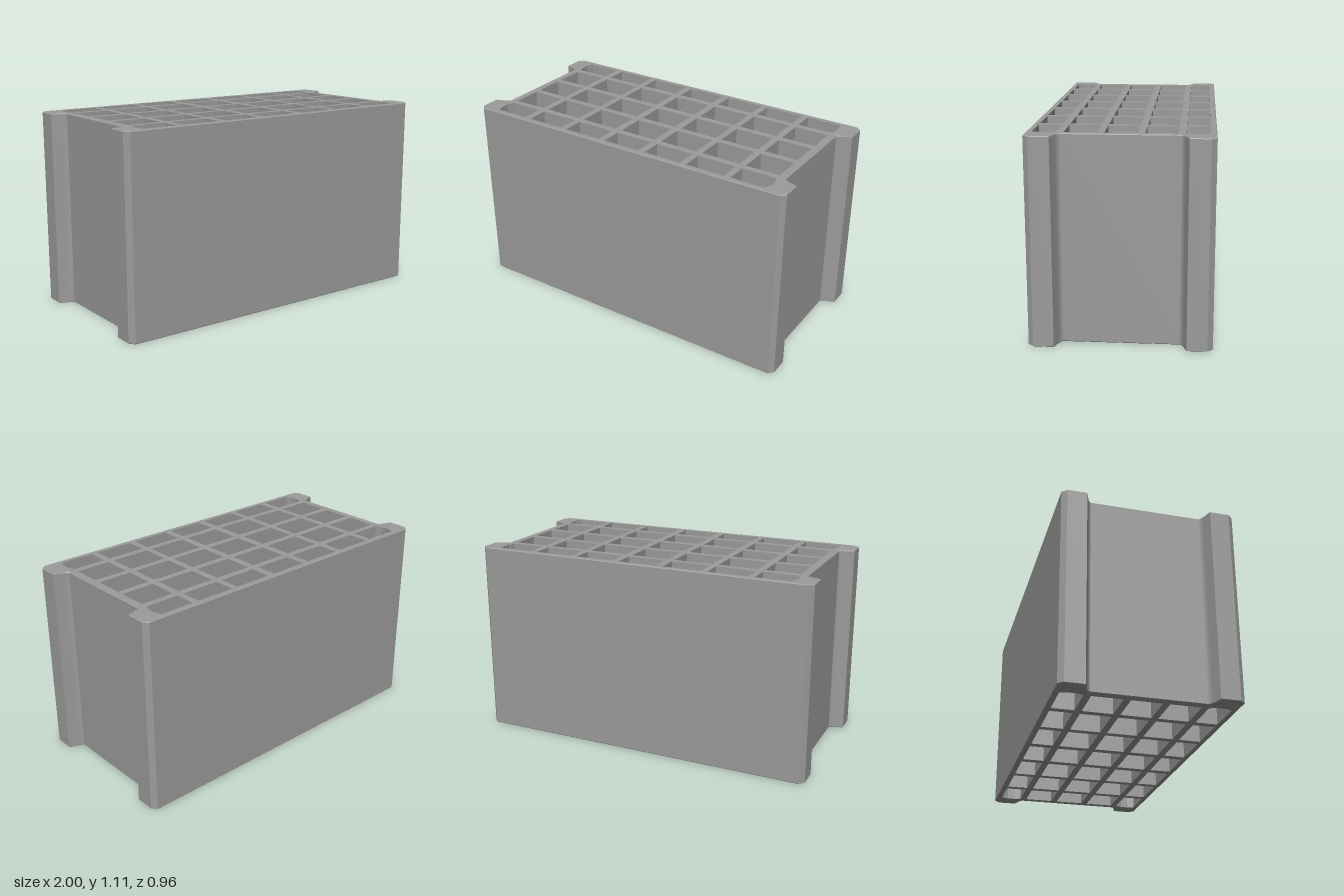
import * as THREE from 'three';
import { toCreasedNormals } from 'three/addons/utils/BufferGeometryUtils.js';

const HEIGHT = 1.11;
const BEVEL = 0.004;

// Right-front quarter of the outline: recess fillet, ramp, end face, chamfer
const fillet = new THREE.QuadraticBezierCurve(
  new THREE.Vector2(0.92, 0.306), new THREE.Vector2(0.929, 0.3185), new THREE.Vector2(0.945, 0.324));
const quarter = [
  ...fillet.getPoints(4).map((p) => [p.x, p.y]),
  [1, 0.343], [1, 0.45], [0.975, 0.478],
];
// Cell spans between the webs
const columns = [[-0.877, -0.68], [-0.641, -0.415], [-0.378, -0.153], [-0.111, 0.111],
  [0.153, 0.378], [0.415, 0.641], [0.68, 0.877]];
const rows = [[-0.447, -0.325], [-0.287, -0.121], [-0.083, 0.083], [0.121, 0.287], [0.325, 0.447]];

const toPoints = (list) => list.map(([x, y]) => new THREE.Vector2(x, y));
const mirror = (list, sx, sy) => list.map(([x, y]) => [x * sx, y * sy]);

// Rectangular cell; corner cells bulge towards the end of the block
function cell([x0, x1], [z0, z1], bulge) {
  const dz = (z1 - z0) * 0.32;
  const points = [[x0, z0]];
  if (bulge < 0) points.push([x0 - 0.014, z0 + dz], [x0 - 0.014, z1 - dz]);
  points.push([x0, z1], [x1, z1]);
  if (bulge > 0) points.push([x1 + 0.014, z1 - dz], [x1 + 0.014, z0 + dz]);
  points.push([x1, z0]);
  return new THREE.Path(toPoints(points));
}

// Narrow bevel round the outer rim at the top and bottom
function bevelRims(geometry) {
  const p = geometry.attributes.position;
  for (let i = 0; i < p.count; i++) {
    const x = p.getX(i), y = p.getY(i), z = p.getZ(i);
    const layer = Math.round((y / HEIGHT) * 3);
    p.setY(i, [0, BEVEL, HEIGHT - BEVEL, HEIGHT][layer]);
    if (layer === 1 || layer === 2) continue;
    if (Math.abs(x) > 0.9) p.setX(i, x - Math.sign(x) * BEVEL);
    if (Math.abs(z) > 0.449) p.setZ(i, z - Math.sign(z) * BEVEL);
  }
}

export function createModel() {
  const group = new THREE.Group();
  group.name = 'hollowBlock';

  // Outline mirrored into all four quarters
  const outline = new THREE.Shape(toPoints([
    ...quarter,
    ...mirror(quarter, -1, 1).reverse(),
    ...mirror(quarter, -1, -1),
    ...mirror(quarter, 1, -1).reverse(),
  ]));

  // Grid of vertical cells running right through the block
  rows.forEach((row, r) => columns.forEach((column, c) => {
    const outerRow = r === 0 || r === rows.length - 1;
    const bulge = !outerRow ? 0 : c === 0 ? -1 : c === columns.length - 1 ? 1 : 0;
    outline.holes.push(cell(column, row, bulge));
  }));

  const geometry = new THREE.ExtrudeGeometry(outline, { depth: HEIGHT, steps: 3, bevelEnabled: false });
  geometry.rotateX(-Math.PI / 2);
  bevelRims(geometry);
  const block = new THREE.Mesh(
    toCreasedNormals(geometry, 0.3),
    new THREE.MeshStandardMaterial({ color: 0x9b9b9b }),
  );
  block.name = 'blockBody';
  group.add(block);
  return group;
}
